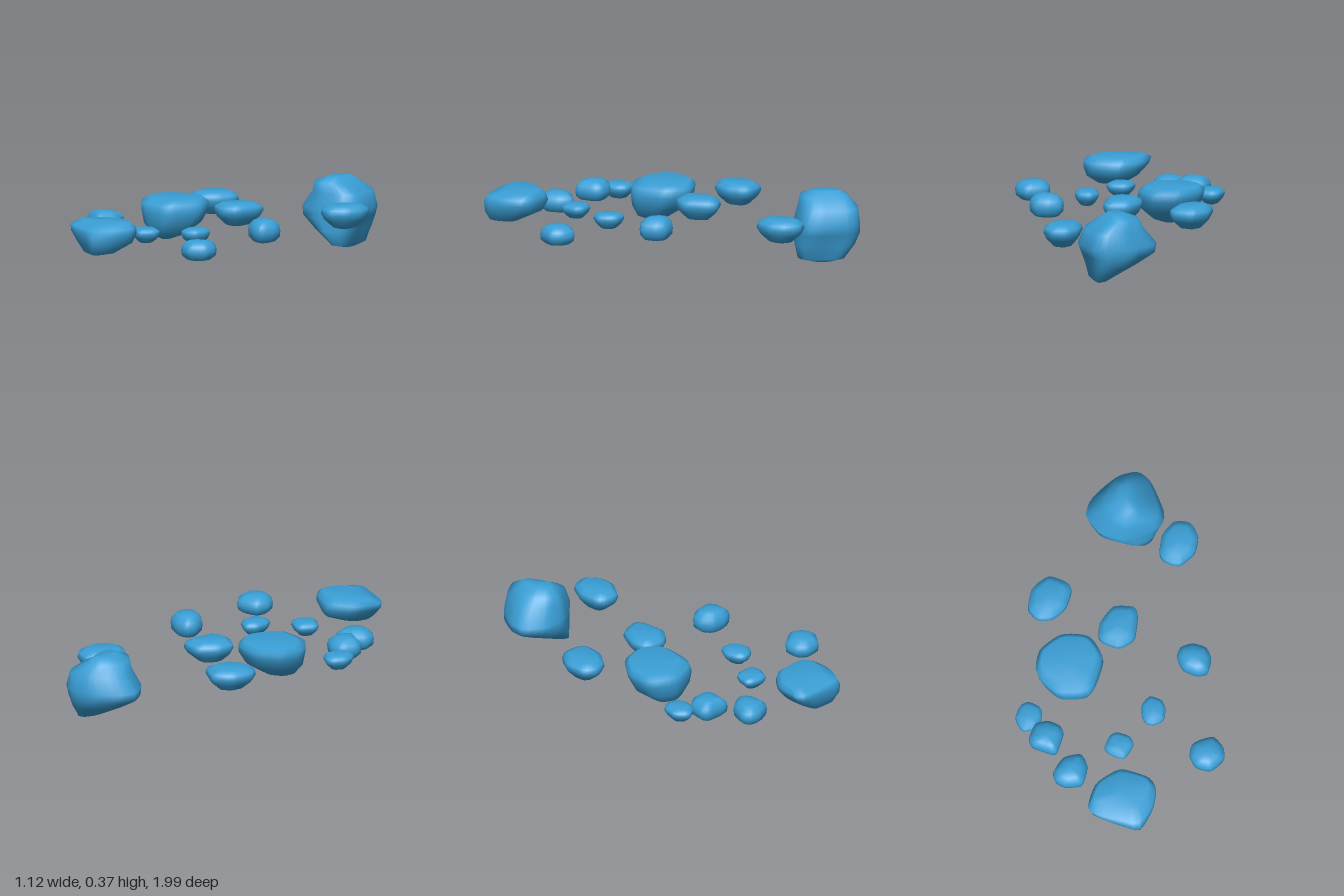
import * as THREE from 'three';

const material = new THREE.MeshStandardMaterial({ color: 0x3a9fd6 });
const SEGMENTS = 32;

// Cross-sections: [height, left, right, back, front] as fractions of the stone's box
const slab = [
  [0, 0.38, 0.62, 0.38, 0.62], [0.07, 0.25, 0.76, 0.25, 0.76], [0.38, 0.08, 0.93, 0.08, 0.93],
  [0.65, 0, 1, 0, 1], [0.85, 0.02, 0.98, 0.03, 0.97], [1, 0.17, 0.83, 0.17, 0.83],
];
const pebble = [
  [0, 0.3, 0.7, 0.3, 0.7], [0.06, 0.15, 0.85, 0.15, 0.85], [0.25, 0.02, 0.98, 0.02, 0.98],
  [0.5, 0, 1, 0, 1], [0.75, 0.03, 0.97, 0.03, 0.97], [0.94, 0.17, 0.83, 0.17, 0.83],
  [1, 0.35, 0.65, 0.35, 0.65],
];
const broad = [
  [0, 0.42, 0.56, 0.6, 0.75], [0.12, 0.25, 0.75, 0.4, 0.9], [0.4, 0.08, 0.93, 0.13, 0.98],
  [0.7, 0.02, 1, 0.02, 1], [0.9, 0, 0.98, 0, 0.97], [1, 0.08, 0.9, 0.08, 0.82],
];
const wedge = [
  [0, 0.45, 0.65, 0.6, 0.8], [0.06, 0.33, 0.78, 0.4, 0.9], [0.35, 0.15, 0.95, 0.08, 0.98],
  [0.65, 0.03, 1, 0, 1], [0.85, 0, 1, 0.03, 0.95], [1, 0.1, 0.9, 0.12, 0.7],
];
const boulder = [
  [0, 0.7, 0.78, 0.45, 0.7], [0.05, 0.6, 0.85, 0.25, 0.95], [0.25, 0.27, 0.9, 0.08, 1],
  [0.42, 0.02, 0.96, 0, 1], [0.55, 0, 1, 0, 1], [0.78, 0.17, 0.92, 0.03, 0.94],
  [0.93, 0.24, 0.7, 0.18, 0.9], [1, 0.42, 0.62, 0.3, 0.75],
];

// Lofts a plan outline (x, z pairs, clockwise from above) through the cross-sections
function stoneGeometry(outline, y0, y1, sections) {
  const corners = [];
  for (let i = 0; i < outline.length; i += 2) corners.push(new THREE.Vector3(outline[i], 0, outline[i + 1]));
  const box = new THREE.Box3().setFromPoints(corners);
  const size = box.getSize(new THREE.Vector3());
  const curve = new THREE.CatmullRomCurve3(corners, true, 'catmullrom', 0.3);
  const plan = curve.getSpacedPoints(SEGMENTS).slice(0, SEGMENTS);

  const positions = [], index = [];
  for (const [t, l, r, b, f] of sections) {
    for (const p of plan) {
      const u = (p.x - box.min.x) / size.x, v = (p.z - box.min.z) / size.z;
      positions.push(
        box.min.x + size.x * (l + (r - l) * u),
        y0 + (y1 - y0) * t,
        box.min.z + size.z * (b + (f - b) * v));
    }
  }
  // Cap centres
  for (const [t, l, r, b, f] of [sections[0], sections[sections.length - 1]]) {
    positions.push(box.min.x + size.x * (l + r) / 2, y0 + (y1 - y0) * t, box.min.z + size.z * (b + f) / 2);
  }
  const top = (sections.length - 1) * SEGMENTS;
  const bottomCentre = top + SEGMENTS, topCentre = bottomCentre + 1;
  for (let j = 0; j < SEGMENTS; j++) {
    const k = (j + 1) % SEGMENTS;
    for (let s = 0; s < top; s += SEGMENTS) {
      const a = s + j, b = s + k, c = a + SEGMENTS, d = b + SEGMENTS;
      index.push(a, c, b, b, c, d);
    }
    index.push(bottomCentre, j, k, topCentre, top + k, top + j);
  }
  const geometry = new THREE.BufferGeometry();
  geometry.setAttribute('position', new THREE.Float32BufferAttribute(positions, 3));
  geometry.setIndex(index);
  geometry.computeVertexNormals();
  return geometry;
}

export function createModel() {
  const group = new THREE.Group();
  group.name = 'scatteredStones';
  const add = (name, y0, y1, sections, outline) => {
    const mesh = new THREE.Mesh(stoneGeometry(outline, y0, y1, sections), material);
    mesh.name = name;
    group.add(mesh);
  };

  // Large stones
  add('backBoulder', 0, 0.37, boulder, [-0.01, -0.82, 0.03, -0.9, 0.15, -0.985, 0.29, -1, 0.36, -0.955,
    0.405, -0.77, 0.38, -0.7, 0.31, -0.67, 0.17, -0.65, 0.055, -0.7, 0.01, -0.77]);
  add('middleBoulder', 0.105, 0.32, broad, [-0.415, 0.035, -0.375, -0.07, -0.245, -0.14, -0.1, -0.105,
    -0.05, 0.025, -0.145, 0.2, -0.315, 0.19, -0.395, 0.105]);
  add('frontBoulder', 0.15, 0.317, wedge, [-0.265, 0.85, -0.2, 0.715, -0.06, 0.65, 0.08, 0.725,
    0.11, 0.8, 0.07, 0.91, -0.015, 0.995, -0.1, 0.965, -0.23, 0.9]);

  // Medium flat-topped stones
  add('backLeftStone', 0.145, 0.272, slab, [0.34, -0.53, 0.375, -0.64, 0.45, -0.7, 0.535, -0.675,
    0.56, -0.59, 0.525, -0.5, 0.435, -0.445, 0.36, -0.48]);
  add('backRightStone', 0.17, 0.295, slab, [-0.4, -0.32, -0.36, -0.435, -0.26, -0.49, -0.165, -0.435,
    -0.155, -0.385, -0.2, -0.295, -0.28, -0.245, -0.36, -0.255]);
  add('centreStone', 0.175, 0.3, slab, [-0.055, -0.095, -0.035, -0.185, 0.05, -0.265, 0.16, -0.245,
    0.17, -0.185, 0.13, -0.06, 0.045, -0.025, -0.025, -0.06]);

  // Small flat-topped stones
  add('rightSmallStone', 0.155, 0.24, slab, [-0.56, 0.25, -0.52, 0.19, -0.475, 0.18, -0.42, 0.22,
    -0.42, 0.275, -0.46, 0.335, -0.53, 0.34, -0.555, 0.3]);
  add('frontSmallStone', 0.16, 0.24, slab, [-0.12, 0.495, -0.08, 0.435, -0.04, 0.425, 0.025, 0.46,
    0.035, 0.51, -0.02, 0.575, -0.065, 0.565, -0.11, 0.53]);
  add('leftSmallStone', 0.155, 0.24, slab, [0.105, 0.36, 0.115, 0.29, 0.165, 0.25, 0.225, 0.285,
    0.235, 0.335, 0.215, 0.395, 0.165, 0.415, 0.12, 0.4]);

  // Rounded pebbles
  add('leftPebble', 0.16, 0.285, pebble, [0.34, 0.06, 0.365, 0.01, 0.435, 0, 0.505, 0.035,
    0.52, 0.095, 0.49, 0.17, 0.43, 0.175, 0.36, 0.13]);
  add('rightPebble', 0.165, 0.28, pebble, [-0.51, 0.39, -0.465, 0.315, -0.39, 0.31, -0.33, 0.35,
    -0.325, 0.4, -0.38, 0.495, -0.45, 0.465, -0.5, 0.435]);
  add('frontRightPebble', 0.13, 0.242, pebble, [-0.41, 0.585, -0.345, 0.515, -0.245, 0.51, -0.225, 0.585,
    -0.265, 0.675, -0.355, 0.675, -0.405, 0.64]);
  add('frontLeftPebble', 0.135, 0.242, pebble, [0.32, 0.615, 0.34, 0.55, 0.39, 0.53, 0.465, 0.525,
    0.505, 0.585, 0.5, 0.655, 0.42, 0.705, 0.345, 0.675]);

  return group;
}
